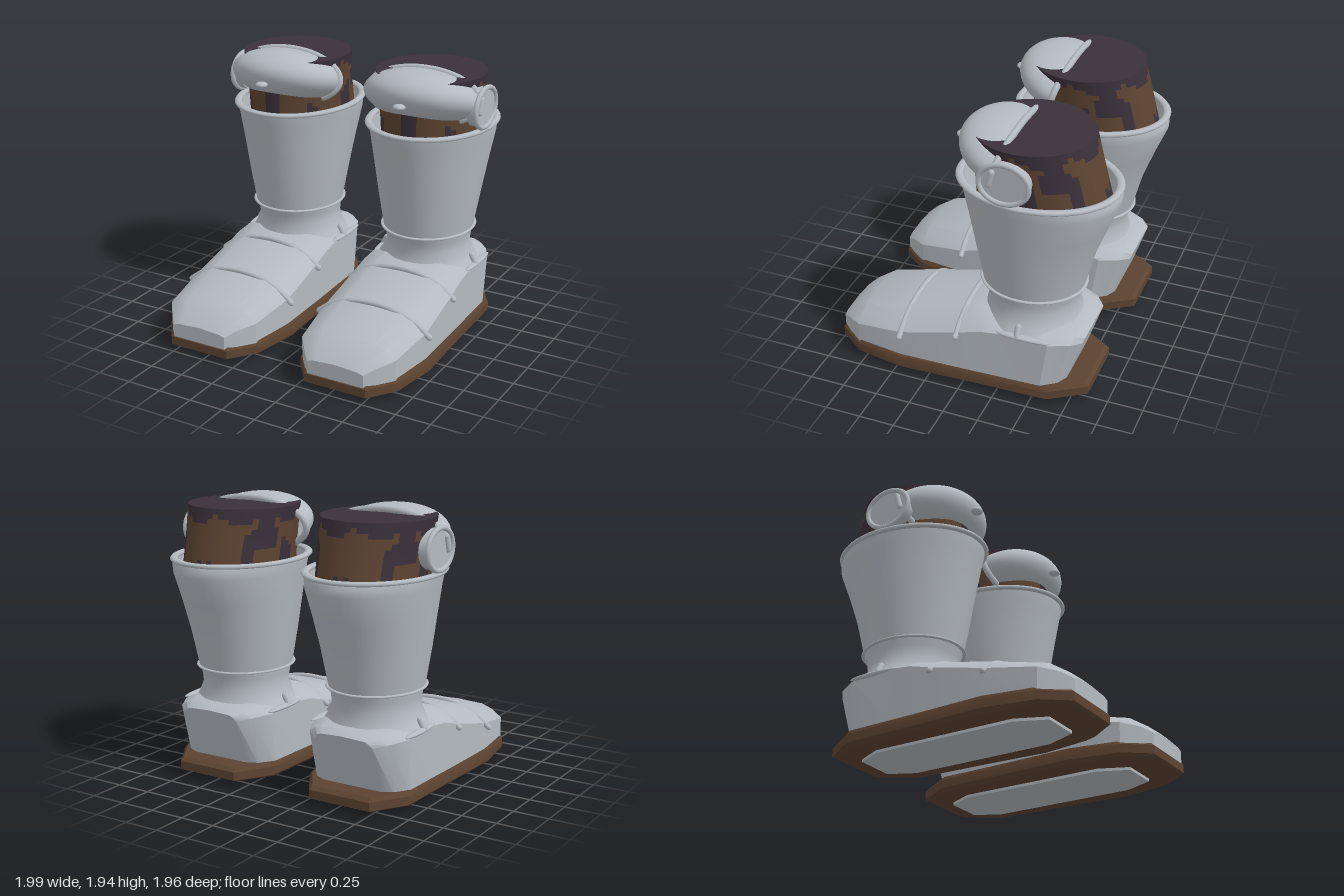
import * as THREE from 'three';
import { toCreasedNormals } from 'three/addons/utils/BufferGeometryUtils.js';

const V = (x, y, z) => new THREE.Vector3(x, y, z);

// Skin a list of rings; pick(i, j) chooses the material group (0 or 1) of each quad
function loft(rings, { caps = [true, true], crease = 0.6, pick = () => 0 } = {}) {
  const n = rings[0].length, last = rings.length - 1;
  const groups = [[], []];
  for (let i = 0; i < last; i++) {
    for (let j = 0; j < n; j++) {
      const k = (j + 1) % n;
      const a = i * n + j, b = i * n + k, c = b + n, d = a + n;
      groups[pick(i, j)].push(a, b, c, a, c, d);
    }
  }
  for (let j = 1; j < n - 1; j++) {
    if (caps[0]) groups[0].push(0, j + 1, j);
    if (caps[1]) groups[1].push(last * n, last * n + j, last * n + j + 1);
  }
  const g = new THREE.BufferGeometry().setFromPoints(rings.flat());
  g.setIndex([...groups[0], ...groups[1]]);
  g.addGroup(0, groups[0].length, 0);
  g.addGroup(groups[0].length, groups[1].length, 1);
  return toCreasedNormals(g, crease);
}

// Horizontal oval ring of points
function oval(y, cz, rx, rz, n = 48) {
  return Array.from({ length: n }, (_, i) => {
    const a = (i / n) * Math.PI * 2;
    return V(Math.cos(a) * rx, y, cz - Math.sin(a) * rz);
  });
}

const closedTube = (pts, r) =>
  new THREE.TubeGeometry(new THREE.CatmullRomCurve3(pts, true), 64, r, 8, true);

// Horizontal outline from half-profile points [x, z], toe to heel
function outline(half, y, k = 1, cz = 0.06) {
  const right = half.map(([x, z]) => V(x * k, y, cz + (z - cz) * k));
  const left = half.map(([x, z]) => V(-x * k, y, cz + (z - cz) * k)).reverse();
  return [...right, ...left];
}

// Foot cross-section: straight walls under an arched top, leaning with height
function footRing([z, lean, w, ys, yt, wt]) {
  const at = (x, y) => V(x, y, z + lean * (y - 0.11) / 0.4);
  const mid = (wt + w) / 2, ym = ys + (yt - ys) * 0.6;
  return [at(w, 0.11), at(w, ys), at(mid, ym), at(wt, yt - 0.008), at(0, yt),
    at(-wt, yt - 0.008), at(-mid, ym), at(-w, ys), at(-w, 0.11)];
}

function createBoot(side, M) {
  const boot = new THREE.Group();
  boot.name = side > 0 ? 'leftBoot' : 'rightBoot';
  const add = (name, geo, mat, pos = [0, 0, 0], scale = [1, 1, 1]) => {
    const m = new THREE.Mesh(geo, mat);
    m.name = name;
    m.position.set(...pos);
    m.scale.set(...scale);
    boot.add(m);
    return m;
  };

  // Sole and the inset plate underneath
  const solePlan = [[0.23, 0.985], [0.37, 0.8], [0.43, 0.45], [0.405, -0.1], [0.39, -0.62], [0.23, -0.865]];
  add('sole', loft([outline(solePlan, 0.02, 0.93), outline(solePlan, 0.045), outline(solePlan, 0.105),
    outline(solePlan, 0.13, 0.97)]), [M.brown, M.brown]);
  const platePlan = [[0.14, 0.76], [0.23, 0.55], [0.23, -0.5], [0.14, -0.68]];
  add('solePlate', loft([outline(platePlan, 0), outline(platePlan, 0.03)]), [M.armor, M.armor]);

  // Foot shell, heel to toe: z, lean, half width, wall height, top height, top half width
  const foot = [
    [-0.70, -0.13, 0.22, 0.45, 0.50, 0.17],
    [-0.66, -0.10, 0.30, 0.47, 0.53, 0.20],
    [-0.56, -0.06, 0.37, 0.48, 0.55, 0.22],
    [-0.25, 0, 0.38, 0.49, 0.55, 0.22],
    [-0.13, 0, 0.385, 0.475, 0.57, 0.22],
    [0.02, 0, 0.39, 0.43, 0.54, 0.22],
    [0.45, 0, 0.40, 0.32, 0.44, 0.22],
    [0.80, 0, 0.355, 0.265, 0.355, 0.2],
    [0.92, 0, 0.265, 0.235, 0.28, 0.16],
    [0.98, 0, 0.21, 0.20, 0.225, 0.12],
  ];
  add('foot', loft(foot.map(footRing), { crease: 0.45 }), [M.armor, M.armor]);

  // Straps arching across the instep
  for (const [z, w, y0, y1] of [[0.45, 0.425, 0.295, 0.447], [0.035, 0.405, 0.40, 0.545]]) {
    const path = [-1, -0.78, -0.5, 0, 0.5, 0.78, 1].map(t =>
      V(t * w, y0 + (y1 - y0) * (1 - Math.pow(Math.abs(t), 2.4)), z));
    add('strap', new THREE.TubeGeometry(new THREE.CatmullRomCurve3(path), 32, 0.021, 8), M.armor);
    for (const s of [-1, 1]) {
      add('strapEnd', new THREE.SphereGeometry(0.021, 10, 8), M.armor, [s * w, y0, z]);
    }
  }

  // Ankle buckles
  for (const s of [-1, 1]) {
    add('buckleBar', new THREE.SphereGeometry(1, 20, 10), M.armor, [s * 0.365, 0.495, -0.44], [0.03, 0.018, 0.195]);
    const pin = add('bucklePin', new THREE.CapsuleGeometry(0.023, 0.06, 4, 10), M.armor, [s * 0.355, 0.53, -0.4]);
    pin.rotation.z = s * 0.5;
  }

  // Ankle and flared shaft
  add('ankle', loft([oval(0.49, -0.39, 0.37, 0.355), oval(0.54, -0.39, 0.335, 0.33), oval(0.63, -0.39, 0.295, 0.31),
    oval(0.70, -0.387, 0.302, 0.325), oval(0.76, -0.385, 0.31, 0.345)], { caps: [false, false] }), [M.armor, M.armor]);
  add('shaft', loft([oval(0.75, -0.385, 0.315, 0.35), oval(1.02, -0.393, 0.358, 0.41), oval(1.25, -0.412, 0.39, 0.475),
    oval(1.44, -0.43, 0.418, 0.535), oval(1.49, -0.425, 0.425, 0.542), oval(1.53, -0.413, 0.427, 0.535)],
  { caps: [false, false], crease: 1 }), [M.armor, M.armor]);
  add('shaftRim', closedTube(oval(0, -0.413, 0.425, 0.533, 32), 0.028), M.armor, [0, 1.53, 0], [1, 0.6, 1]);
  add('ankleRing', closedTube(oval(0, -0.385, 0.322, 0.357, 32), 0.014), M.armor, [0, 0.755, 0], [1, 0.6, 1]);

  // Inner lining with a ragged dark band and patches, closed by a dark lid
  const rows = 14, cols = 60;
  const rings = Array.from({ length: rows + 1 }, (_, i) => {
    const t = i / rows;
    const front = 0.01 + 0.015 * t, back = -0.905 + 0.13 * t;
    const rx = 0.355 + 0.028 * t * t;
    return oval(1.42 + 0.47 * t, (front + back) / 2, rx, (front - back) / 2, cols);
  });
  const dark = (i, j) => {
    const t = (i + 0.5) / rows, a = (j / cols) * Math.PI * 2;
    const band = t > 0.83 + 0.07 * Math.cos(7 * a + 0.6);
    const patch = t < 0.5 + 0.25 * Math.sin(3 * a) && Math.cos(8 * a) > 0.35;
    const sidePatch = Math.abs(Math.abs(a - Math.PI / 2) - 1.05) < 0.2 - 0.08 * Math.sin(t * 9) && t > 0.4;
    return band || patch || sidePatch ? 1 : 0;
  };
  add('lining', loft(rings, { caps: [false, true], pick: dark }), [M.brown, M.dark]);

  // Domed knee guard, cut at a slant and trimmed around the cut edge
  const guard = new THREE.Group();
  guard.name = 'kneeGuard';
  guard.position.set(0, 1.735, -0.245);
  guard.rotation.x = -0.27;
  boot.add(guard);
  const dome = new THREE.Mesh(new THREE.SphereGeometry(1, 40, 24, 0, Math.PI), M.armor);
  dome.name = 'guardDome';
  dome.scale.set(0.425, 0.185, 0.36);
  const trimPts = oval(0, 0, 0.425, 0.185, 32).map(p => V(p.x, -p.z, 0));
  const trim = new THREE.Mesh(closedTube(trimPts, 0.024), M.armor);
  trim.name = 'guardTrim';
  guard.add(dome, trim);
  add('guardStud', new THREE.SphereGeometry(1, 16, 10), M.armor, [0, 1.745, 0.12], [0.045, 0.022, 0.042]);

  // Round hinge cap on the outer side
  const disc = add('hingeDisc', new THREE.CylinderGeometry(1, 1, 0.07, 36), M.armor, [side * 0.395, 1.69, -0.33], [0.135, 1, 0.165]);
  disc.rotation.z = Math.PI / 2;
  const ringPts = oval(0, 0, 0.138, 0.168, 32).map(p => V(0, p.x, p.z));
  add('hingeRim', closedTube(ringPts, 0.018), M.armor, [side * 0.43, 1.69, -0.33]);
  const peg = add('hingePeg', new THREE.CapsuleGeometry(0.022, 0.09, 4, 10), M.armor, [side * 0.43, 1.72, -0.24]);
  peg.rotation.x = -0.27;

  boot.position.x = side * 0.54;
  return boot;
}

export function createModel() {
  const material = (name, color) => {
    const m = new THREE.MeshStandardMaterial({ color, side: THREE.DoubleSide });
    m.name = name;
    return m;
  };
  const M = {
    armor: material('paleGrey', 0xb4bac0),
    brown: material('leatherBrown', 0x5c4331),
    dark: material('darkPlum', 0x3a303a),
  };
  const model = new THREE.Group();
  model.name = 'armouredBoots';
  for (const side of [-1, 1]) model.add(createBoot(side, M));
  return model;
}
